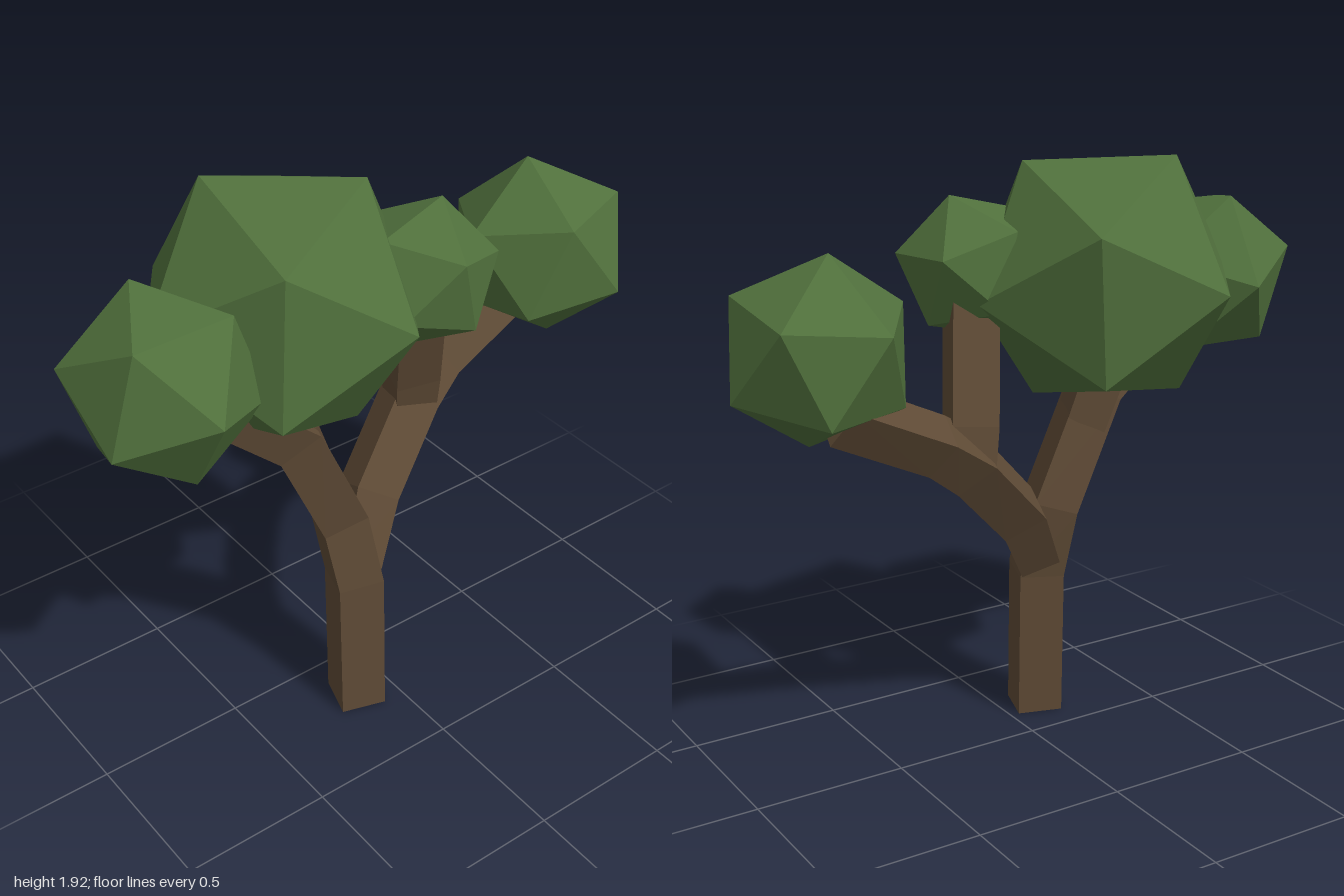
import * as THREE from 'three';

const bark = new THREE.MeshStandardMaterial({ color: 0x5e4a35, flatShading: true });
const leaf = new THREE.MeshStandardMaterial({ color: 0x50703c, flatShading: true });
const V = (p) => new THREE.Vector3(...p);

// Square-section limb: four-cornered rings carried along a list of points
function limb(name, points, radii) {
  const pts = points.map(V);
  const n = pts.length;
  const side = new THREE.Vector3(0.05, 0, 0.095);
  const pos = [];
  const index = [];
  pts.forEach((p, i) => {
    const t = i === 0 ? new THREE.Vector3(0, 1, 0)
      : pts[Math.min(i + 1, n - 1)].clone().sub(pts[i - 1]).normalize();
    if (i === 0 && p.y > 0) t.subVectors(pts[1], p).normalize();
    side.addScaledVector(t, -side.dot(t)).normalize();
    const other = new THREE.Vector3().crossVectors(t, side);
    for (let k = 0; k < 4; k++) {
      const a = k * Math.PI / 2;
      const c = p.clone()
        .addScaledVector(side, Math.cos(a) * radii[i])
        .addScaledVector(other, Math.sin(a) * radii[i]);
      pos.push(c.x, c.y, c.z);
    }
  });
  for (let i = 0; i < n - 1; i++) {
    for (let k = 0; k < 4; k++) {
      const a = i * 4 + k, b = i * 4 + (k + 1) % 4;
      index.push(a, b, b + 4, a, b + 4, a + 4);
    }
  }
  // End caps
  const e = (n - 1) * 4;
  index.push(0, 2, 1, 0, 3, 2, e, e + 1, e + 2, e, e + 2, e + 3);
  const indexed = new THREE.BufferGeometry();
  indexed.setAttribute('position', new THREE.Float32BufferAttribute(pos, 3));
  indexed.setIndex(index);
  const geo = indexed.toNonIndexed();
  geo.computeVertexNormals();
  const mesh = new THREE.Mesh(geo, bark);
  mesh.name = name;
  return mesh;
}

// Icosahedron turned so that two neighbouring corners point along a and b
function foliage(name, center, radius, a, b) {
  const va = V(a).normalize(), vb = V(b).normalize();
  const y = va.clone().add(vb).normalize();
  const x = va.clone().sub(vb).normalize();
  const z = new THREE.Vector3().crossVectors(x, y);
  const mesh = new THREE.Mesh(new THREE.IcosahedronGeometry(radius, 0), leaf);
  mesh.quaternion.setFromRotationMatrix(new THREE.Matrix4().makeBasis(x, y, z));
  mesh.position.set(...center);
  mesh.name = name;
  return mesh;
}

export function createModel() {
  const tree = new THREE.Group();
  tree.name = 'tree';

  // Trunk running on into the right-hand bough
  tree.add(limb('trunk',
    [[-0.125, 0, 0.185], [-0.12, 0.51, 0.165], [-0.15, 0.75, 0.125], [-0.32, 1.13, 0.12], [-0.58, 1.36, 0.11]],
    [0.107, 0.107, 0.107, 0.107, 0.1]));
  tree.add(limb('crownBranch',
    [[-0.25, 0.98, 0.12], [-0.31, 1.16, 0.1], [-0.29, 1.4, 0.05]],
    [0.095, 0.1, 0.09]));

  // Left bough and its upright fork
  tree.add(limb('leftBough',
    [[-0.11, 0.55, 0.155], [0.0, 0.75, 0.085], [0.23, 0.98, 0.0], [0.36, 1.07, -0.025], [0.7, 1.23, -0.04]],
    [0.095, 0.107, 0.107, 0.1, 0.1]));
  tree.add(limb('uprightBranch',
    [[0.23, 0.96, 0.0], [0.215, 1.1, 0.02], [0.15, 1.5, 0.12]],
    [0.095, 0.105, 0.105]));

  // Leaf clumps
  tree.add(foliage('crownFoliage', [-0.265, 1.525, 0], 0.455, [-0.165, 0.395, -0.16], [0.235, 0.375, 0.11]));
  tree.add(foliage('rightFoliage', [-0.74, 1.48, 0.105], 0.305, [0, 0.01, 0.305], [-0.16, 0.22, 0.136]));
  tree.add(foliage('smallFoliage', [0.117, 1.573, 0.18], 0.24, [0.073, 0.227, 0], [-0.005, 0.115, 0.21]));
  tree.add(foliage('leftFoliage', [0.715, 1.4, 0.045], 0.307, [-0.015, 0.3, -0.052], [-0.285, 0.12, -0.005]));
  return tree;
}
